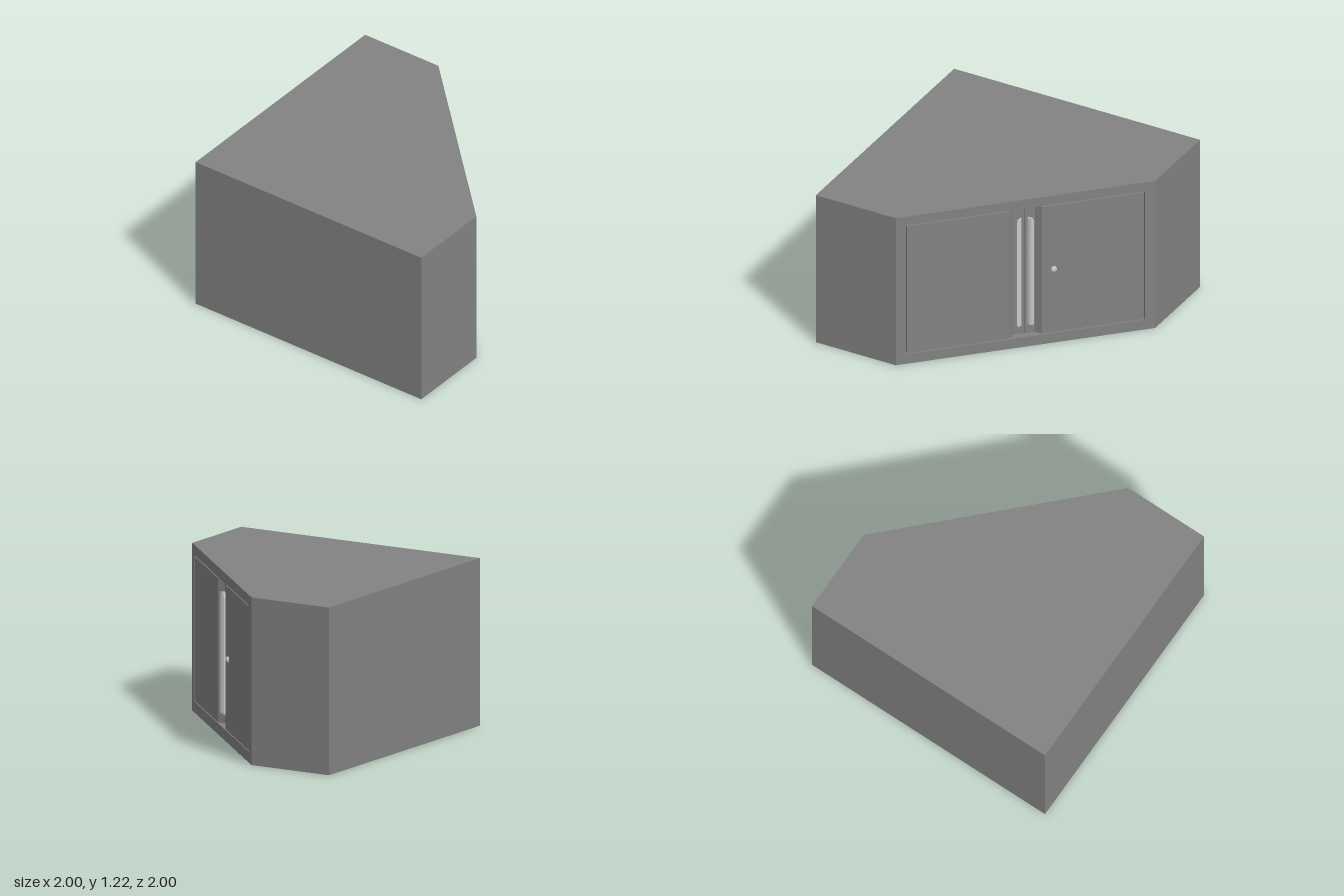
import * as THREE from 'three';

const S = Math.SQRT1_2;
const MID = 0.325;            // centre of the diagonal front in x and z
const HEIGHT = 1.215, OPEN_LOW = 0.08, OPEN_HIGH = 1.14;
const OPEN_HALF = 0.878, OPEN_DEPTH = 0.06;

const bodyMaterial = new THREE.MeshStandardMaterial({ color: 0x838383 });
const fittingMaterial = new THREE.MeshStandardMaterial({ color: 0xcccccc });

function part(name, geometry, material, parent) {
  const mesh = new THREE.Mesh(geometry, material);
  mesh.name = name;
  parent.add(mesh);
  return mesh;
}

// Extrudes a plan outline of [x, z] points upward from y0 to y1.
function slab(points, y0, y1) {
  const shape = new THREE.Shape(points.map(([x, z]) => new THREE.Vector2(x, -z)));
  return new THREE.ExtrudeGeometry(shape, { depth: y1 - y0, bevelEnabled: false })
    .rotateX(-Math.PI / 2)
    .translate(0, y0, 0);
}

// Plan position of a point given along (u) and out of (n) the diagonal front.
const onFront = (u, n) => [MID + (u + n) * S, MID + (n - u) * S];

// Upright strip bent into a quarter round, with rounded corners at both ends.
function quarterRound(side) {
  const radius = 0.044, thickness = 0.014, height = 0.88, corner = 0.02;
  const length = radius * Math.PI / 2;
  const geometry = new THREE.BoxGeometry(1, 1, 1, 24, 1, 1);
  const pos = geometry.attributes.position;
  for (let i = 0; i < pos.count; i++) {
    const t = side * pos.getX(i) + 0.5;
    const angle = t * Math.PI / 2;
    const r = radius - (0.5 - pos.getZ(i)) * thickness;
    const inset = Math.max(0, corner - Math.min(t, 1 - t) * length);
    const drop = corner - Math.sqrt(corner * corner - inset * inset);
    pos.setXYZ(
      i,
      side * (0.062 - r * Math.cos(angle)),
      pos.getY(i) * (height - 2 * drop),
      -0.041 + r * Math.sin(angle),
    );
  }
  geometry.computeVertexNormals();
  return geometry;
}

export function createModel() {
  const model = new THREE.Group();
  model.name = 'cornerCabinet';

  // Carcass: solid top and bottom, with a door recess between them
  const outline = [[1, -0.35], [1, -1], [-1, -1], [-1, 1], [-0.35, 1]];
  const notch = [
    onFront(-OPEN_HALF, 0), onFront(-OPEN_HALF, -OPEN_DEPTH),
    onFront(OPEN_HALF, -OPEN_DEPTH), onFront(OPEN_HALF, 0),
  ];
  part('bottomPanel', slab(outline, 0, OPEN_LOW), bodyMaterial, model);
  part('cabinetBody', slab([...outline, ...notch], OPEN_LOW, OPEN_HIGH), bodyMaterial, model);
  part('topPanel', slab(outline, OPEN_HIGH, HEIGHT), bodyMaterial, model);

  // Everything on the diagonal front faces local +z
  const front = new THREE.Group();
  front.name = 'doorFront';
  front.position.set(MID, 0, MID);
  front.rotation.y = Math.PI / 4;
  model.add(front);

  for (const side of [-1, 1]) {
    const label = side > 0 ? 'left' : 'right';

    // Door with a sloped finger recess next to the centre gap
    const profile = [
      [0.872, 0], [0.872, -0.055], [0.005, -0.055],
      [0.005, -0.04], [0.08, -0.04], [0.122, 0],
    ].map(([u, n]) => [side * u, n]);
    part(label + 'Door', slab(profile, OPEN_LOW + 0.007, OPEN_HIGH - 0.007), bodyMaterial, front);

    // Curved pull standing in the recess
    const handle = part(label + 'Handle', quarterRound(side), fittingMaterial, front);
    handle.position.y = 0.61;
  }

  // Small round lock on one door
  const lockProfile = [[0, -0.005], [0.022, -0.005], [0.022, 0.008], [0.017, 0.016], [0, 0.018]]
    .map(([r, y]) => new THREE.Vector2(r, -y)).reverse();
  const lockGeometry = new THREE.LatheGeometry(lockProfile, 24).rotateX(-Math.PI / 2);
  const lock = part('doorLock', lockGeometry, fittingMaterial, front);
  lock.position.set(0.208, 0.61, 0);

  return model;
}
